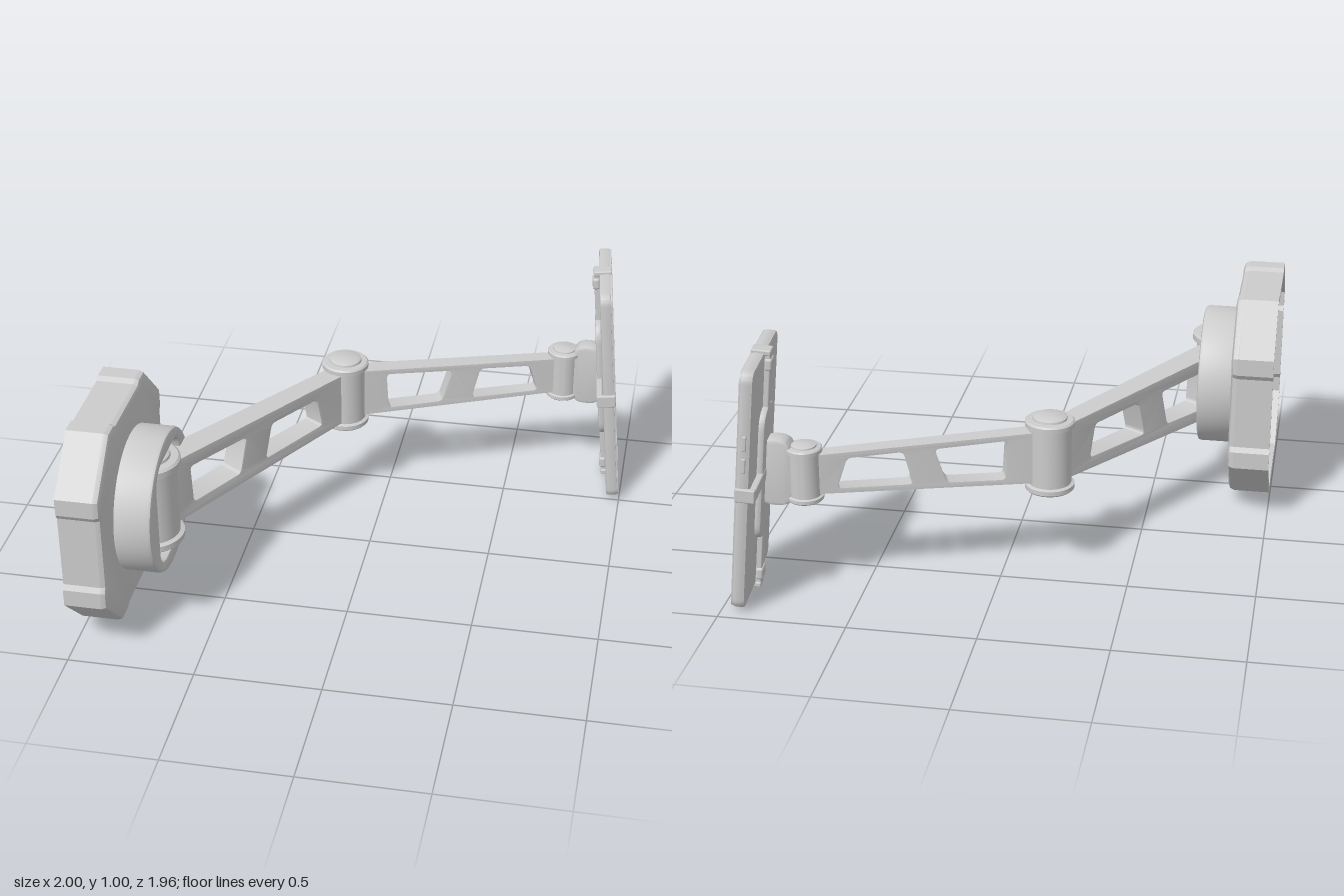
import * as THREE from 'three';
import { toCreasedNormals } from 'three/addons/utils/BufferGeometryUtils.js';
import { RoundedBoxGeometry } from 'three/addons/geometries/RoundedBoxGeometry.js';

const material = new THREE.MeshStandardMaterial({ color: 0xcccccc });
const V = (x, y) => new THREE.Vector2(x, y);

function add(parent, name, geometry, x = 0, y = 0, z = 0) {
  const mesh = new THREE.Mesh(geometry, material);
  mesh.name = name;
  mesh.position.set(x, y, z);
  parent.add(mesh);
  return mesh;
}

// Closed outline through the points, with every corner rounded by radius r
function roundedPoly(points, r, path = new THREE.Shape()) {
  const n = points.length;
  points.forEach((p, i) => {
    const toward = (q) => p.clone().add(q.clone().sub(p).setLength(r));
    const a = toward(points[(i + n - 1) % n]), b = toward(points[(i + 1) % n]);
    if (i) path.lineTo(a.x, a.y); else path.moveTo(a.x, a.y);
    path.quadraticCurveTo(p.x, p.y, b.x, b.y);
  });
  path.closePath();
  return path;
}

const rect = (w, h) => [V(-w / 2, -h / 2), V(w / 2, -h / 2), V(w / 2, h / 2), V(-w / 2, h / 2)];

// Extrusion filling exactly z0..z1, bevel kept inside the outline
function slab(shape, z0, z1, bevel = 0, curveSegments = 8) {
  const g = new THREE.ExtrudeGeometry(shape, {
    depth: z1 - z0 - 2 * bevel, curveSegments, bevelEnabled: bevel > 0,
    bevelThickness: bevel, bevelSize: bevel, bevelOffset: -bevel, bevelSegments: 2,
  });
  g.translate(0, 0, z0 + bevel);
  return toCreasedNormals(g, 0.5);
}

// Upright hinge barrel with flanged, stepped caps; h is half its height
function hinge(parent, name, x, z, r, h) {
  const body = r * 0.87;
  const half = [[body, h * 0.72], [r, h * 0.75], [r, h * 0.86], [r * 0.93, h * 0.9],
    [r * 0.7, h * 0.91], [r * 0.68, h * 0.96], [r * 0.55, h], [0, h]];
  const profile = [...half.map(([a, b]) => V(a, -b)).reverse(), ...half.map(([a, b]) => V(a, b))];
  add(parent, name, toCreasedNormals(new THREE.LatheGeometry(profile, 48), 0.5), x, 0.5, z);
}

// Tapered arm with two trapezoid windows
// t: start and end along the arm, h: half heights, w: thicknesses, at both ends
function arm(parent, name, from, to, t, h, w, windows) {
  const length = Math.hypot(to[0] - from[0], to[1] - from[1]);
  const shape = new THREE.Shape([V(t[0], -h[0]), V(t[1], -h[1]), V(t[1], h[1]), V(t[0], h[0])]);
  for (const points of windows) {
    shape.holes.push(roundedPoly(points.map(([a, b]) => V(a, b)), 0.02, new THREE.Path()));
  }
  const g = slab(shape, -0.5, 0.5, 0.008);
  const p = g.attributes.position;
  for (let i = 0; i < p.count; i++) {
    const k = THREE.MathUtils.clamp(p.getX(i) / length, 0, 1);
    p.setZ(i, p.getZ(i) * THREE.MathUtils.lerp(w[0], w[1], k));
  }
  const mesh = add(parent, name, toCreasedNormals(g, 0.5), from[0], 0.5, from[1]);
  mesh.rotation.y = Math.atan2(from[1] - to[1], to[0] - from[0]);
}

// Chamfered square whose side centres are slightly recessed
function housingOutline(inset) {
  const a = 0.428 - inset, c = 0.24 - inset * 0.41, d = 0.013;
  const side = [V(a, -c), V(a, -0.17), V(a - d, -0.15), V(a - d, 0.15), V(a, 0.17), V(a, c)];
  return [0, 1, 2, 3].flatMap((i) => side.map((p) => p.clone().rotateAround(V(0, 0), i * Math.PI / 2)));
}

function buildBase() {
  const base = new THREE.Group();
  base.name = 'base';
  base.position.set(0, 0.495, 0.553);
  base.rotation.y = Math.PI / 2; // local z points along the model's x

  // Housing: open back, bevelled front
  const wall = new THREE.Shape(housingOutline(0));
  wall.holes.push(new THREE.Path(housingOutline(0.015)));
  add(base, 'housingWall', slab(wall, -1, -0.855));
  add(base, 'housingFront', slab(new THREE.Shape(housingOutline(0)), -0.885, -0.83, 0.025));

  // Round socket with a pocket for the first hinge
  const collar = new THREE.Shape();
  collar.absarc(0, 0, 0.287, 0, Math.PI * 2);
  collar.holes.push(roundedPoly(rect(0.33, 0.43), 0.09, new THREE.Path()));
  add(base, 'socket', slab(collar, -0.84, -0.685, 0.014, 48));
  const disc = new THREE.CylinderGeometry(0.287, 0.287, 0.1, 64);
  disc.rotateX(Math.PI / 2);
  add(base, 'backDisc', disc, 0, 0, -0.89);
  return base;
}

function buildHolder() {
  const holder = new THREE.Group();
  holder.name = 'screenHolder';
  holder.position.set(0.935, 0.51, -0.725);
  holder.lookAt(0.935 + 1, 0.51 + 0.09, -0.725 - 0.09);

  // Flat screen unit with a slim raised rim
  const W = 0.48, H = 0.975;
  add(holder, 'screenBody', slab(roundedPoly(rect(W, H), 0.045), -0.052, -0.004, 0.01));
  const rim = roundedPoly(rect(W - 0.008, H - 0.008), 0.042);
  rim.holes.push(roundedPoly(rect(W - 0.036, H - 0.036), 0.03, new THREE.Path()));
  add(holder, 'screenRim', slab(rim, -0.016, 0));
  for (const y of [0.12, 0.21]) {
    add(holder, 'sideButton', new RoundedBoxGeometry(0.012, 0.06, 0.016, 2, 0.004), W / 2, y, -0.028);
  }

  // Back plate, crossed bars and four clips
  add(holder, 'backPlate', slab(roundedPoly(rect(0.19, 0.54), 0.08), -0.076, -0.048, 0.008));
  add(holder, 'verticalBar', new RoundedBoxGeometry(0.045, H, 0.026, 2, 0.006), 0, 0, -0.061);
  add(holder, 'crossBar', new RoundedBoxGeometry(W, 0.05, 0.026, 2, 0.006), 0, 0, -0.066);
  for (const s of [-1, 1]) {
    add(holder, 'endClip', new RoundedBoxGeometry(0.06, 0.022, 0.076, 2, 0.006), 0, s * H / 2, -0.037);
    add(holder, 'endClipKnob', new RoundedBoxGeometry(0.06, 0.05, 0.03, 2, 0.01), 0, s * 0.44, -0.066);
    add(holder, 'sideClip', new RoundedBoxGeometry(0.022, 0.055, 0.078, 2, 0.006), s * W / 2, 0, -0.038);
  }
  return holder;
}

export function createModel() {
  const model = new THREE.Group();
  model.name = 'wallMountArm';
  const shoulder = [-0.77, 0.553], elbow = [-0.175, -0.383], wrist = [0.715, -0.712];

  model.add(buildBase());
  hinge(model, 'shoulderHinge', ...shoulder, 0.13, 0.208);
  hinge(model, 'elbowHinge', ...elbow, 0.097, 0.163);
  hinge(model, 'wristHinge', ...wrist, 0.07, 0.122);

  arm(model, 'lowerArm', shoulder, elbow, [0.03, 1.08], [0.142, 0.113], [0.115, 0.085], [
    [[0.18, -0.088], [0.44, -0.08], [0.48, 0.074], [0.17, 0.082]],
    [[0.585, -0.077], [0.92, -0.07], [0.89, 0.067], [0.625, 0.072]],
  ]);
  arm(model, 'upperArm', elbow, wrist, [0.03, 0.93], [0.107, 0.08], [0.075, 0.064], [
    [[0.18, -0.082], [0.41, -0.074], [0.455, 0.07], [0.17, 0.082]],
    [[0.54, -0.07], [0.83, -0.063], [0.79, 0.06], [0.575, 0.068]],
  ]);

  // Rounded tongue joining the wrist to the holder
  const tongue = roundedPoly([V(0.755, 0.37), V(0.89, 0.37), V(0.88, 0.645), V(0.755, 0.645)], 0.06);
  add(model, 'wristTongue', slab(tongue, -0.755, -0.675, 0.01));

  model.add(buildHolder());
  return model;
}
